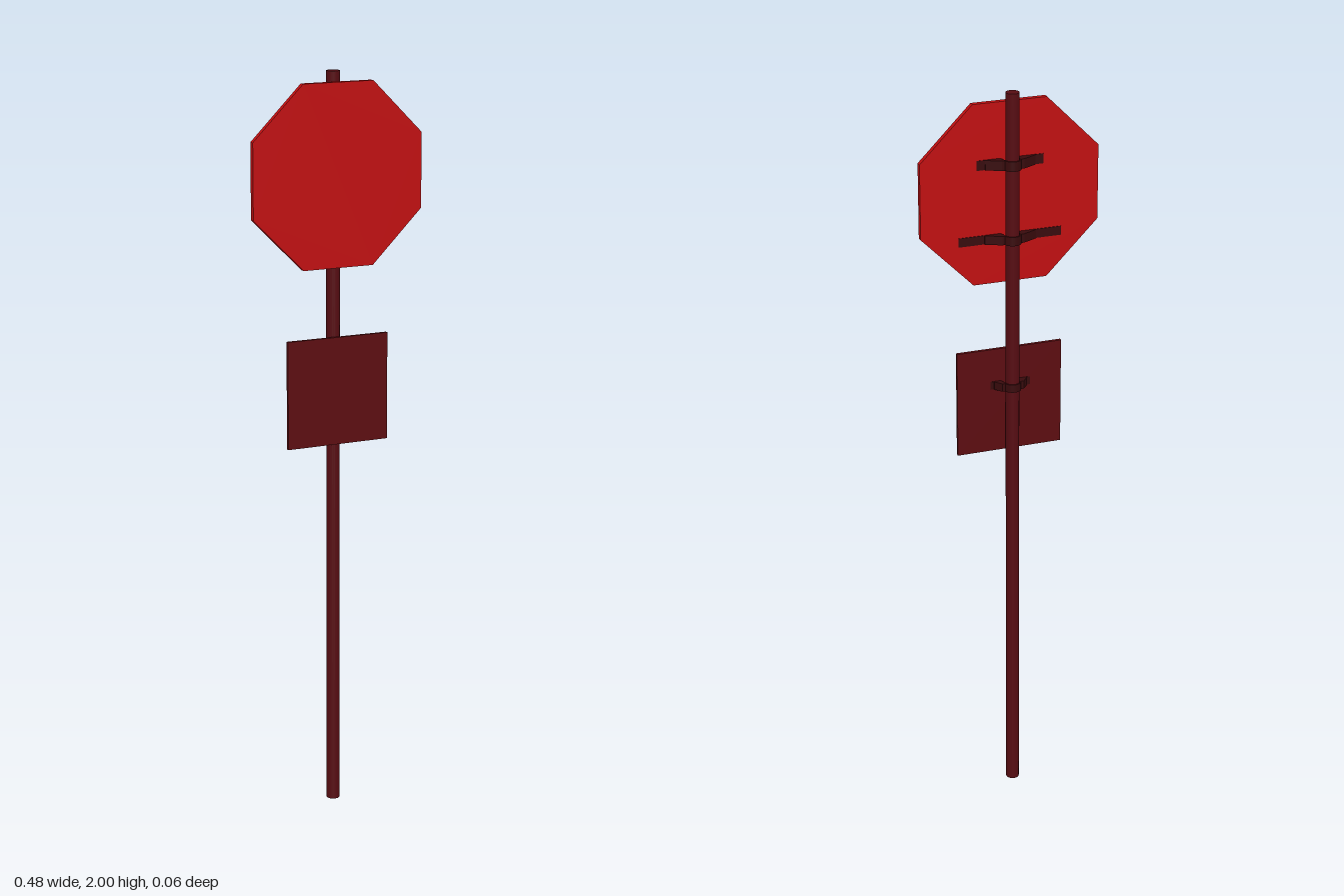
import * as THREE from 'three';

const POLE_Z = -0.006, BACK = 0.012;
const mat = (color) => new THREE.MeshStandardMaterial({ color });

function add(parent, name, geometry, material) {
  const mesh = new THREE.Mesh(geometry, material);
  mesh.name = name;
  parent.add(mesh);
  return mesh;
}

// Extrudes an x/z outline vertically, centred on y = 0
function extrudeUp(shape, height) {
  return new THREE.ExtrudeGeometry(shape, { depth: height, bevelEnabled: false, curveSegments: 12 })
    .translate(0, 0, -height / 2)
    .rotateX(Math.PI / 2);
}

// Pole clamp: half ring behind the pole, two wedge feet and flat end straps
function createBracket(name, y, footReach, strapReach, height, material) {
  const bracket = new THREE.Group();
  bracket.name = name;
  bracket.position.y = y;

  const band = new THREE.Shape();
  band.absarc(0, POLE_Z, 0.023, Math.PI, Math.PI * 2, false);
  band.absarc(0, POLE_Z, 0.0195, Math.PI * 2, Math.PI, true);
  band.closePath();
  add(bracket, 'clampBand', extrudeUp(band, height), material);

  for (const side of [-1, 1]) {
    const outline = [
      [0.021, -0.012], [0.03, -0.012], [footReach, 0.008], [footReach, 0.0105],
      [strapReach, 0.0105], [strapReach, BACK], [0.026, BACK], [0.021, -0.002],
    ].map(([x, z]) => new THREE.Vector2(x * side, z));
    const label = side > 0 ? 'leftFoot' : 'rightFoot';
    add(bracket, label, extrudeUp(new THREE.Shape(outline), height), material);
  }
  return bracket;
}

export function createModel() {
  const group = new THREE.Group();
  const poleMat = mat(0x560c12), redMat = mat(0xc00e10);
  const plateMat = mat(0x5c0c10), bracketMat = mat(0x380a0c);

  // Post
  add(group, 'pole', new THREE.CylinderGeometry(0.018, 0.018, 2, 20), poleMat)
    .position.set(0, 1, POLE_Z);

  // Octagonal sign panel, flat edge on top
  const corners = [];
  for (let i = 0; i < 8; i++) {
    const a = (i + 0.5) * Math.PI / 4, r = 0.241 / Math.cos(Math.PI / 8);
    corners.push(new THREE.Vector2(Math.cos(a) * r, Math.sin(a) * r));
  }
  const octagon = new THREE.ExtrudeGeometry(new THREE.Shape(corners), { depth: 0.015, bevelEnabled: false });
  add(group, 'octagonPanel', octagon, redMat).position.set(0, 1.732, BACK);

  // Lower square plate
  add(group, 'squarePlate', new THREE.BoxGeometry(0.29, 0.29, 0.009), plateMat)
    .position.set(0.002, 1.16, BACK + 0.0045);

  // Clamps
  group.add(
    createBracket('upperBracket', 1.812, 0.068, 0.09, 0.026, bracketMat),
    createBracket('middleBracket', 1.612, 0.07, 0.14, 0.024, bracketMat),
    createBracket('plateBracket', 1.203, 0.045, 0.055, 0.022, bracketMat),
  );
  return group;
}
